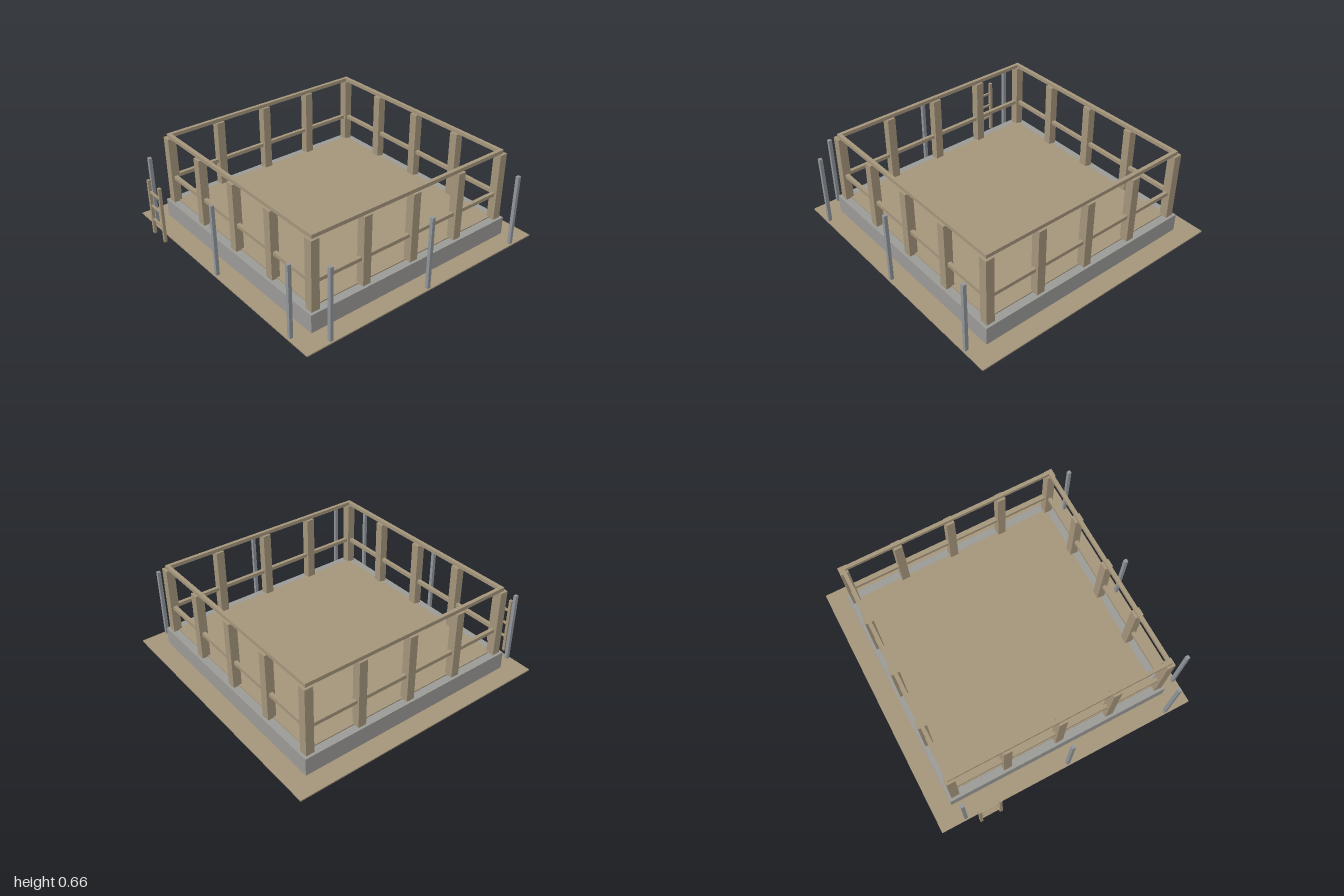
import * as THREE from 'three';

export function createModel() {
  const root = new THREE.Group();
  root.name = 'fencedPlatform';

  const material = (name, color) => {
    const m = new THREE.MeshStandardMaterial({ color });
    m.name = name;
    return m;
  };
  const wood = material('wood', 0xa5957b);
  const concrete = material('concrete', 0x9b9a97);
  const steel = material('steel', 0x91969b);

  // The platform sits slightly behind the origin because the ladder stands in front
  const deck = new THREE.Group();
  deck.name = 'platform';
  deck.position.z = -0.028;
  root.add(deck);

  // Box standing with its underside at y0
  const box = (parent, name, mat, w, h, d, x, y0, z) => {
    const mesh = new THREE.Mesh(new THREE.BoxGeometry(w, h, d), mat);
    mesh.name = name;
    mesh.position.set(x, y0 + h / 2, z);
    parent.add(mesh);
    return mesh;
  };

  // Thin ground sheet
  box(deck, 'groundSheet', wood, 1.943, 0.009, 1.943, 0, 0.001, 0);

  // Concrete foundation ring
  const square = (path, r) => path.moveTo(-r, -r).lineTo(r, -r).lineTo(r, r).lineTo(-r, r).closePath();
  const ring = new THREE.Shape();
  square(ring, 0.834);
  const hole = new THREE.Path();
  square(hole, 0.7);
  ring.holes.push(hole);
  const ringGeometry = new THREE.ExtrudeGeometry(ring, { depth: 0.14, bevelEnabled: false });
  ringGeometry.rotateX(-Math.PI / 2);
  const foundation = new THREE.Mesh(ringGeometry, concrete);
  foundation.name = 'foundation';
  deck.add(foundation);

  // Floor slab resting on the foundation
  box(deck, 'floor', wood, 1.552, 0.008, 1.552, 0, 0.14, 0);

  // Posts around the perimeter: five along each side
  const R = 0.785;
  for (let i = -2; i <= 2; i++) {
    for (let j = -2; j <= 2; j++) {
      if (Math.abs(i) < 2 && Math.abs(j) < 2) continue;
      box(deck, 'post', wood, 0.06, 0.494, 0.06, i * R / 2, 0.14, j * R / 2);
    }
  }

  // Middle and top rails on all four sides
  const T = 0.026;
  for (const [name, y] of [['middleRail', 0.32], ['topRail', 0.634]]) {
    for (const s of [-1, 1]) {
      box(deck, name, wood, 2 * R + T, T, T, 0, y, s * R);
      box(deck, name, wood, T, T, 2 * R - T, s * R, y, 0);
    }
  }

  // Free-standing steel poles along the front and left sides
  for (const p of [-R, 0, R]) {
    box(deck, 'frontPole', steel, 0.024, 0.525, 0.024, p, 0.005, 0.95);
    box(deck, 'sidePole', steel, 0.024, 0.525, 0.024, 0.95, 0.005, p);
  }

  // Ladder in front of the platform
  const ladder = new THREE.Group();
  ladder.name = 'ladder';
  ladder.position.set(-0.628, 0, 0.989);
  for (const s of [-1, 1]) box(ladder, 'ladderLeg', wood, 0.021, 0.42, 0.021, s * 0.073, 0, 0);
  for (const y of [0.108, 0.216, 0.324]) box(ladder, 'rung', wood, 0.126, 0.014, 0.014, 0, y, 0);
  root.add(ladder);

  return root;
}
